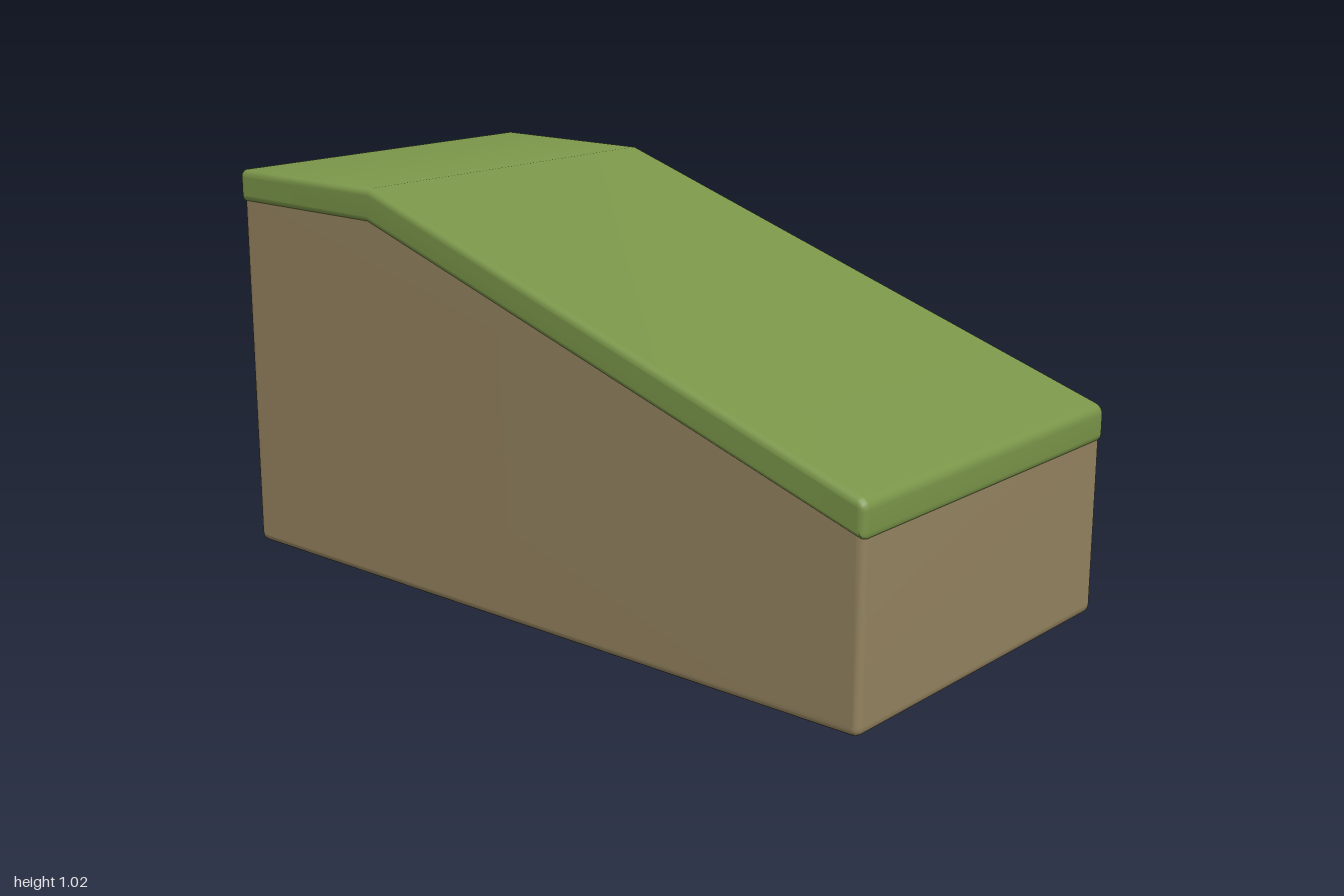
import * as THREE from 'three';
import { mergeVertices } from 'three/addons/utils/BufferGeometryUtils.js';

// Side profile from [-z, y, cornerRadius] points, anticlockwise
function roundedProfile(points) {
  const shape = new THREE.Shape();
  const n = points.length;
  points.forEach(([u, y, r], i) => {
    const corner = new THREE.Vector2(u, y);
    const towards = (p) => new THREE.Vector2(p[0], p[1]).sub(corner).setLength(r).add(corner);
    const a = towards(points[(i + n - 1) % n]);
    const b = towards(points[(i + 1) % n]);
    if (i === 0) shape.moveTo(a.x, a.y);
    else shape.lineTo(a.x, a.y);
    if (r > 0) shape.quadraticCurveTo(u, y, b.x, b.y);
  });
  shape.closePath();
  return shape;
}

// Extrude a profile across x with rounded rims and area-weighted smooth normals
function slab(name, points, width, bevel, material) {
  const depth = width - 2 * bevel;
  let geometry = new THREE.ExtrudeGeometry(roundedProfile(points), {
    depth, curveSegments: 4, bevelEnabled: true, bevelSegments: 4,
    bevelThickness: bevel, bevelSize: bevel, bevelOffset: -bevel,
  });
  geometry.translate(0, 0, -depth / 2);
  geometry.rotateY(Math.PI / 2);
  geometry.deleteAttribute('normal');
  geometry.deleteAttribute('uv');
  geometry = mergeVertices(geometry, 1e-4);
  geometry.computeVertexNormals();
  const mesh = new THREE.Mesh(geometry, material);
  mesh.name = name;
  return mesh;
}

export function createModel() {
  const earth = new THREE.MeshStandardMaterial({ name: 'earth brown', color: 0x94835f });
  const grass = new THREE.MeshStandardMaterial({ name: 'grass green', color: 0x7a9549 });
  const group = new THREE.Group();
  group.name = 'grassSlope';

  // Earth block, its sloped top tucked inside the grass
  group.add(slab('earthBlock', [
    [-0.995, 0, 0.025], [0.993, 0, 0.025], [0.993, 0.97, 0.025],
    [0.5, 0.97, 0], [-0.995, 0.48, 0.025],
  ], 0.99, 0.018, earth));

  // Grass layer: long ramp and flat ledge at the back
  group.add(slab('grassLayer', [
    [-1, 0.438, 0.022], [0.507, 0.93, 0], [1, 0.93, 0.022],
    [1, 1.017, 0.022], [0.495, 1.017, 0], [-1, 0.528, 0.022],
  ], 1, 0.018, grass));

  return group;
}
